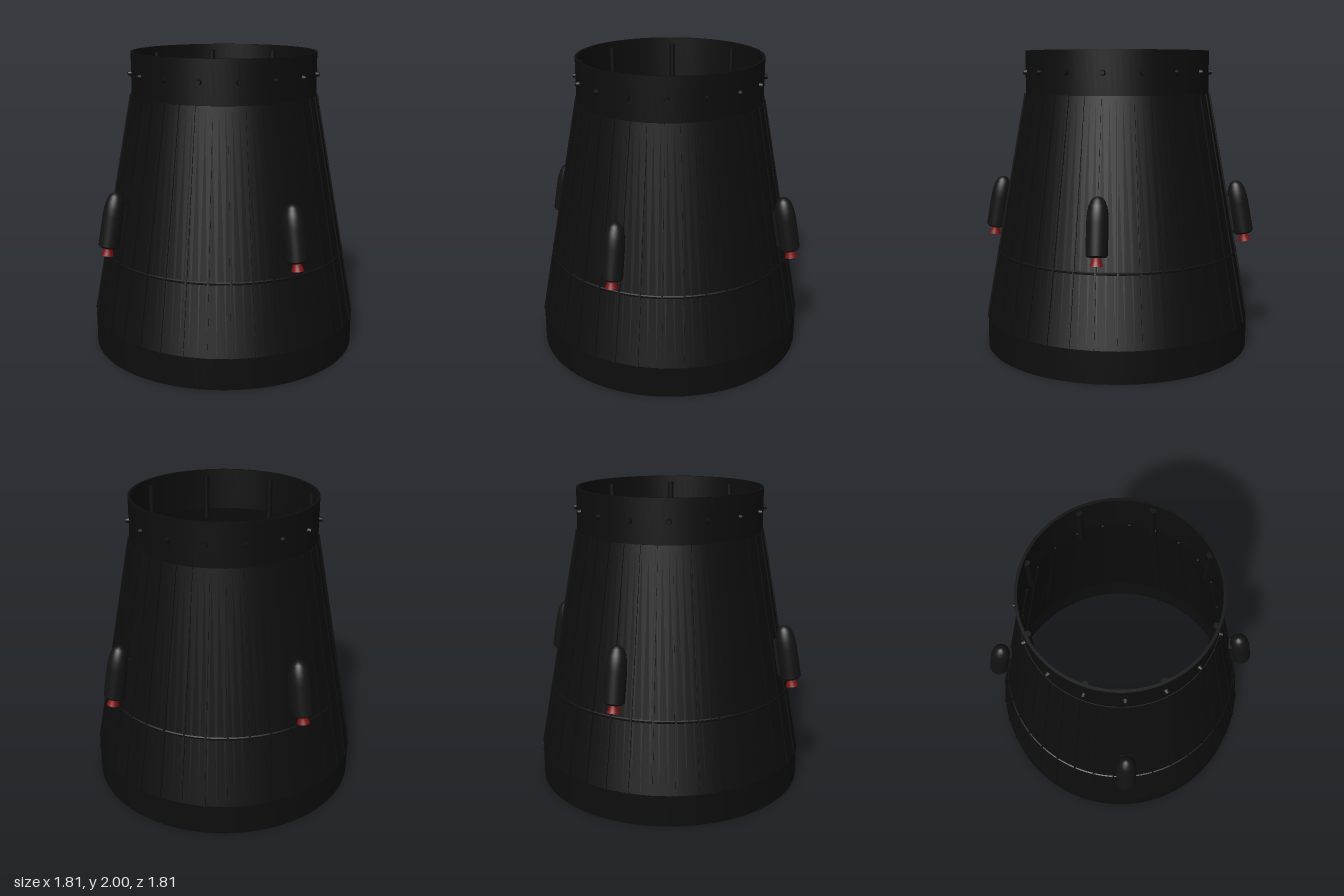
import * as THREE from 'three';

const black = new THREE.MeshStandardMaterial({ color: 0x0d0d0d });
black.name = 'carbon black';
const podBlack = new THREE.MeshStandardMaterial({ color: 0x121212 });
podBlack.name = 'pod black';
const red = new THREE.MeshStandardMaterial({ color: 0x7a1010, side: THREE.DoubleSide });
red.name = 'nozzle red';

const BASE_R = 0.9, TOP_R = 0.62, CONE_Y0 = 0.21, CONE_Y1 = 1.72;
const coneR = (y) => BASE_R + (TOP_R - BASE_R) * (y - CONE_Y0) / (CONE_Y1 - CONE_Y0);

function add(parent, name, geometry, material) {
  const mesh = new THREE.Mesh(geometry, material);
  mesh.name = name;
  parent.add(mesh);
  return mesh;
}

const lathe = (points, segments) =>
  new THREE.LatheGeometry(points.map(([r, y]) => new THREE.Vector2(r, y)), segments);

// One lathe per straight stretch keeps the edges between the stretches sharp
function shell(parent, name, points) {
  const group = new THREE.Group();
  group.name = name;
  for (let i = 0; i < points.length - 1; i++) {
    add(group, name + 'Face', lathe([points[i], points[i + 1]], 96), black);
  }
  parent.add(group);
}

// Repeats a builder around the y axis; local +x points outward
function around(parent, name, count, start, build) {
  for (let i = 0; i < count; i++) {
    const arm = new THREE.Group();
    arm.name = name;
    arm.rotation.y = start + (i / count) * Math.PI * 2;
    build(arm);
    parent.add(arm);
  }
}

// Slim bar lying along the cone wall, shifted outward by offset
function wallBar(parent, name, y0, y1, offset, depth, width) {
  const r0 = coneR(y0) + offset, r1 = coneR(y1) + offset;
  const bar = add(parent, name,
    new THREE.BoxGeometry(depth, Math.hypot(y1 - y0, r1 - r0), width), black);
  bar.position.set((r0 + r1) / 2, (y0 + y1) / 2, 0);
  bar.rotation.z = Math.atan2(r0 - r1, y1 - y0);
}

export function createModel() {
  const model = new THREE.Group();
  model.name = 'interstage';

  // Hollow body: base band, cone, collar and inner walls
  shell(model, 'body', [
    [0.875, 0], [BASE_R, 0], [BASE_R, CONE_Y0], [TOP_R, CONE_Y1], [0.615, CONE_Y1],
    [0.615, 2], [0.597, 2], [0.597, CONE_Y1], [0.875, CONE_Y0], [0.875, 0],
  ]);

  // Thin seam ring around the cone
  shell(model, 'seamRing', [
    [coneR(0.66), 0.655], [coneR(0.66) + 0.006, 0.66],
    [coneR(0.66) + 0.006, 0.67], [coneR(0.67), 0.675],
  ]);

  // Outer stringers
  around(model, 'outerStringer', 37, Math.PI, (arm) =>
    wallBar(arm, 'stringerBar', CONE_Y0, CONE_Y1, 0.001, 0.012, 0.012));

  // Inner ribs along the cone and base band
  around(model, 'innerRib', 22, -Math.PI / 4, (arm) => {
    wallBar(arm, 'ribBar', CONE_Y0, 1.7, -0.028, 0.012, 0.012);
    add(arm, 'ribFoot', new THREE.BoxGeometry(0.012, CONE_Y0, 0.012), black)
      .position.set(0.872, CONE_Y0 / 2, 0);
  });

  // Vertical pushers inside the collar
  around(model, 'innerPost', 8, Math.PI / 8, (arm) =>
    add(arm, 'post', new THREE.CylinderGeometry(0.02, 0.02, 0.3, 16), black)
      .position.set(0.588, 1.81, 0));

  // Bolts around the collar
  around(model, 'collarBolt', 16, 0, (arm) => {
    const bolt = add(arm, 'bolt', new THREE.CylinderGeometry(0.013, 0.02, 0.03, 12), black);
    bolt.position.set(0.622, 1.86, 0);
    bolt.rotation.z = -Math.PI / 2;
  });

  // Four rounded thruster pods lying along the cone
  const podPoints = [
    [0.067, 0], [0.067, 0.2], [0.064, 0.25], [0.056, 0.295],
    [0.041, 0.33], [0.02, 0.348], [0, 0.352],
  ];
  around(model, 'thruster', 4, Math.PI / 4, (arm) => {
    const pod = new THREE.Group();
    pod.name = 'pod';
    pod.position.set(0.867, 0.79, 0);
    pod.rotation.z = Math.atan((BASE_R - TOP_R) / (CONE_Y1 - CONE_Y0));
    add(pod, 'podBody', lathe(podPoints, 32), podBlack);
    add(pod, 'podBase', lathe([[0, -0.012], [0.055, -0.012], [0.067, 0]], 32), podBlack);
    add(pod, 'mount', new THREE.BoxGeometry(0.08, 0.24, 0.07), podBlack)
      .position.set(-0.045, 0.14, 0);
    add(pod, 'nozzle', lathe([[0.04, -0.065], [0.034, -0.045], [0.027, -0.02], [0.027, 0]], 24), red);
    add(pod, 'nozzleThroat', new THREE.CylinderGeometry(0.026, 0.026, 0.004, 24), red)
      .position.y = -0.016;
    arm.add(pod);
  });

  return model;
}
